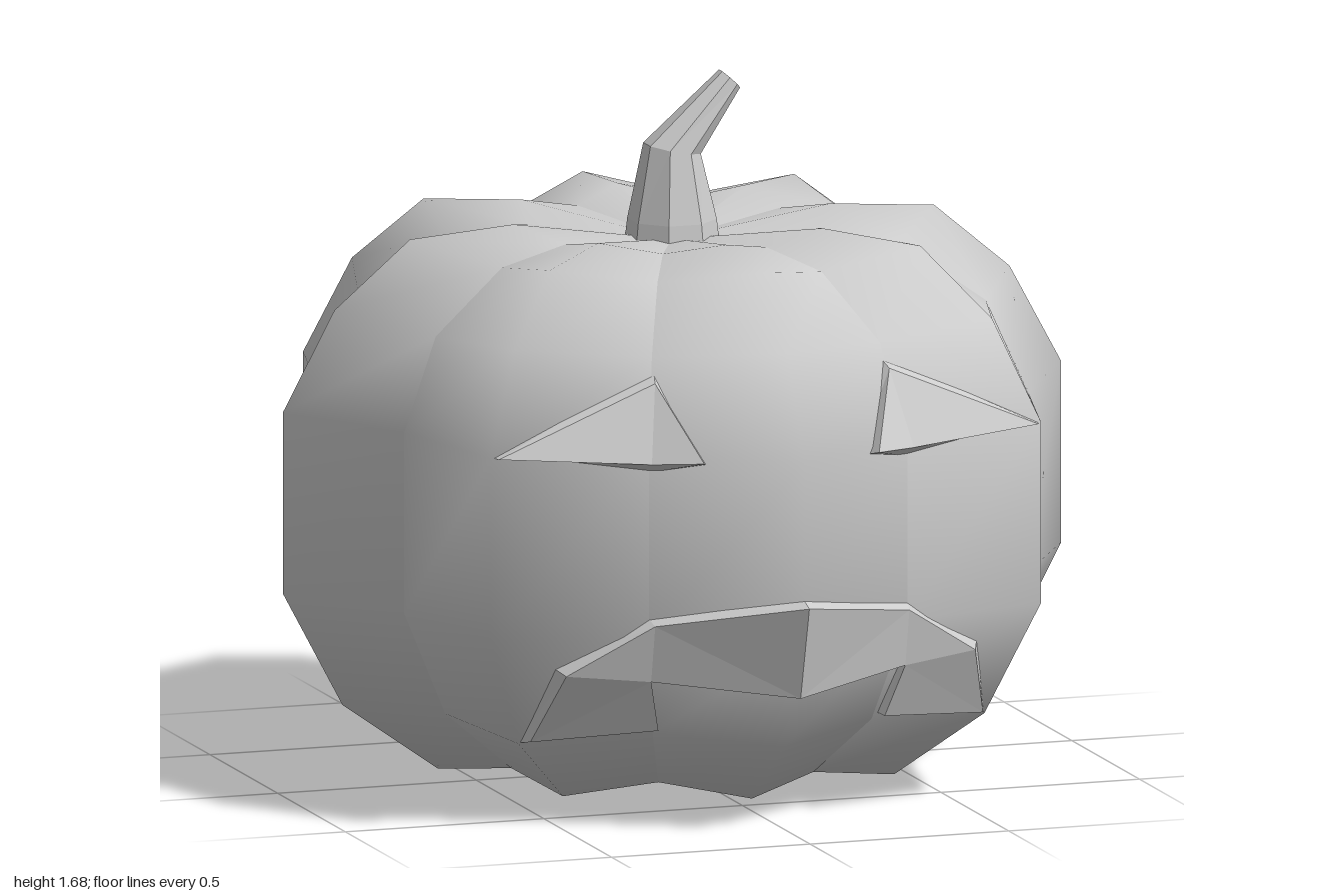
import * as THREE from 'three';

const CZ = -0.02; // the body's axis sits slightly behind the origin
const material = new THREE.MeshStandardMaterial({ color: 0xcccccc });

function part(name, geometry) {
  const mesh = new THREE.Mesh(geometry, material);
  mesh.name = name;
  return mesh;
}

function build(positions, index) {
  let g = new THREE.BufferGeometry();
  g.setAttribute('position', new THREE.Float32BufferAttribute(positions, 3));
  g.setIndex(index);
  return g;
}

// Rings from bottom to top: ridge radius, ridge height, valley radius, valley height
const RINGS = [
  [0.004, 0, 0.004, 0.005],
  [0.59, 0.03, 0.51, 0.06],
  [0.83, 0.2, 0.72, 0.22],
  [0.98, 0.48, 0.85, 0.48],
  [0.98, 0.92, 0.85, 0.92],
  [0.85, 1.16, 0.75, 1.14],
  [0.66, 1.32, 0.54, 1.28],
  [0.4, 1.34, 0.34, 1.31],
  [0.004, 1.28, 0.004, 1.28],
];

// One lobe: valley, ridge, valley; smooth inside, creased against its neighbours
function lobeGeometry(angle) {
  const pos = [], index = [];
  for (const [rr, ry, vr, vy] of RINGS) {
    for (let i = -1; i <= 1; i++) {
      const a = angle + (i * Math.PI) / 8;
      const r = i ? vr : rr;
      pos.push(r * Math.sin(a), i ? vy : ry, CZ + r * Math.cos(a));
    }
  }
  for (let j = 0; j < RINGS.length - 1; j++) {
    for (let i = 0; i < 2; i++) {
      const a = j * 3 + i, b = a + 1, c = a + 4, d = a + 3;
      index.push(a, b, c, a, c, d);
    }
  }
  const g = build(pos, index);
  g.computeVertexNormals();
  return g;
}

// Raised plate: a counter-clockwise front outline walled back to a wider outline
// Each point is [front x, y, z, back x, y, z]
function plateGeometry(points, tris, mirror = false) {
  const n = points.length, s = mirror ? -1 : 1;
  const pos = [], index = [];
  for (const p of points) pos.push(s * p[0], p[1], p[2]);
  for (const p of points) pos.push(s * p[3], p[4], p[5]);
  const tri = (a, b, c) => (mirror ? index.push(a, c, b) : index.push(a, b, c));
  tris.forEach((t) => tri(...t));
  for (let i = 0; i < n; i++) {
    const k = (i + 1) % n;
    tri(i, n + i, n + k);
    tri(i, n + k, k);
  }
  const g = build(pos, index).toNonIndexed();
  g.computeVertexNormals();
  return g;
}

// Eight-sided stem that bends towards +x: [x, y, radius, tilt]
function stemGeometry() {
  const sections = [
    [0, 1.26, 0.115, 0],
    [0, 1.33, 0.107, 0],
    [0, 1.5, 0.07, 0.2],
    [0.145, 1.66, 0.033, 0.75],
  ];
  const pos = [], index = [], n = 8;
  for (const [x, y, r, tilt] of sections) {
    for (let i = 0; i < n; i++) {
      const a = ((i + 0.5) / n) * Math.PI * 2;
      const u = r * Math.sin(a);
      pos.push(x + u * Math.cos(tilt), y - u * Math.sin(tilt), CZ + r * Math.cos(a));
    }
  }
  for (let j = 0; j < sections.length - 1; j++) {
    for (let i = 0; i < n; i++) {
      const k = (i + 1) % n, a = j * n + i, b = j * n + k;
      index.push(a, b, b + n, a, b + n, a + n);
    }
  }
  const top = (sections.length - 1) * n;
  for (let i = 1; i < n - 1; i++) index.push(top, top + i, top + i + 1);
  const g = build(pos, index).toNonIndexed();
  g.computeVertexNormals();
  return g;
}

export function createModel() {
  const model = new THREE.Group();
  model.name = 'carvedPumpkin';

  // Body of eight lobes
  const body = new THREE.Group();
  body.name = 'body';
  for (let i = 0; i < 8; i++) body.add(part('lobe' + (i + 1), lobeGeometry((i * Math.PI) / 4)));
  model.add(body);

  model.add(part('stem', stemGeometry()));

  // Eyes
  const eye = [
    [0.68, 0.92, 0.695, 0.69, 0.92, 0.65],
    [0.295, 1.085, 0.72, 0.28, 1.115, 0.66],
    [0.22, 0.912, 0.865, 0.19, 0.895, 0.8],
    [0.33, 0.905, 0.8, 0.335, 0.873, 0.74],
  ];
  const eyeTris = [[0, 1, 3], [1, 2, 3]];
  model.add(part('leftEye', plateGeometry(eye, eyeTris)));
  model.add(part('rightEye', plateGeometry(eye, eyeTris, true)));

  // Mouth: left half of the outline, mirrored to the right
  const upper = [
    [0.57, 0.21, 0.605, 0.59, 0.2, 0.55],
    [0.515, 0.385, 0.71, 0.54, 0.405, 0.65],
    [0.32, 0.51, 0.795, 0.33, 0.535, 0.73],
  ];
  const lower = [
    [0.32, 0.37, 0.765, 0.33, 0.37, 0.69],
    [0.285, 0.24, 0.715, 0.29, 0.235, 0.64],
  ];
  const flip = (p) => [-p[0], p[1], p[2], -p[3], p[4], p[5]];
  const mouth = [
    ...upper,
    [0, 0.57, 0.995, 0, 0.592, 0.93],
    ...upper.map(flip).reverse(),
    ...lower.map(flip).reverse(),
    [0, 0.34, 0.93, 0, 0.345, 0.85],
    ...lower,
  ];
  const half = [[0, 1, 10], [0, 10, 11], [1, 2, 10], [2, 3, 9], [2, 9, 10]];
  const opposite = (i) => (i < 7 ? 6 - i : 18 - i);
  const otherHalf = half.map(([a, b, c]) => [opposite(a), opposite(c), opposite(b)]);
  model.add(part('mouth', plateGeometry(mouth, [...half, ...otherHalf])));

  return model;
}
